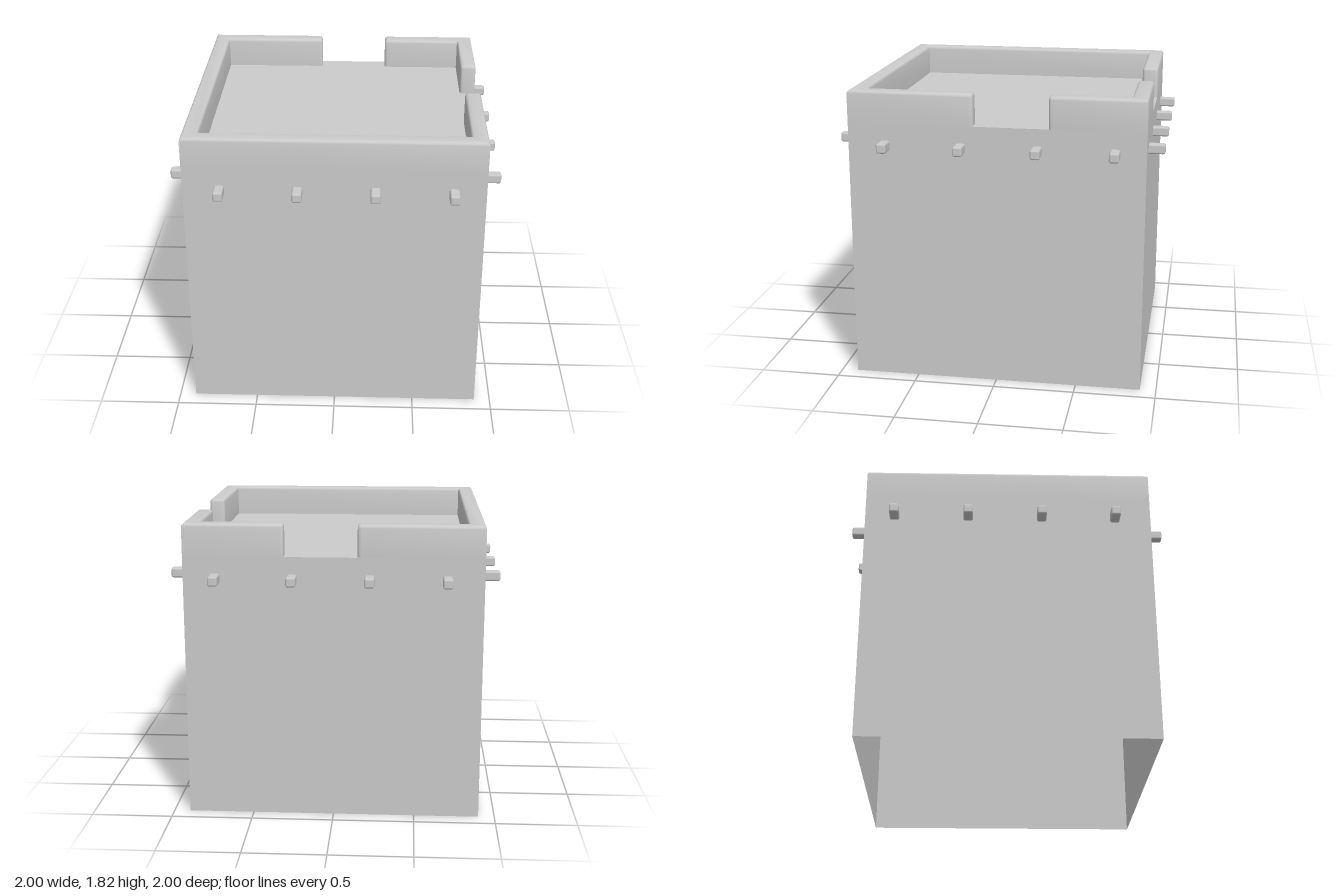
import * as THREE from 'three';
import { toCreasedNormals } from 'three/addons/utils/BufferGeometryUtils.js';
import { RoundedBoxGeometry } from 'three/addons/geometries/RoundedBoxGeometry.js';

const HALF = 0.9, INNER = 0.8, ROOF = 1.625, TOP = 1.82, BEVEL = 0.02;

const material = new THREE.MeshStandardMaterial({ color: 0xcccccc, side: THREE.DoubleSide });

function addMesh(parent, name, geometry) {
  const mesh = new THREE.Mesh(geometry, material);
  mesh.name = name;
  parent.add(mesh);
  return mesh;
}

// Plan outline from [x, z, rounded] corners; marked corners get a small radius.
function planShape(corners, radius) {
  const shape = new THREE.Shape();
  const pts = corners.map(([x, z]) => new THREE.Vector2(x, -z));
  const n = pts.length;
  pts.forEach((p, i) => {
    const r = corners[i][2] ? radius : 0;
    const toward = (q) => p.clone().add(q.clone().sub(p).setLength(r));
    const a = r ? toward(pts[(i + n - 1) % n]) : p;
    if (i === 0) shape.moveTo(a.x, a.y);
    else shape.lineTo(a.x, a.y);
    if (r) {
      const b = toward(pts[(i + 1) % n]);
      shape.quadraticCurveTo(p.x, p.y, b.x, b.y);
    }
  });
  shape.closePath();
  return shape;
}

// Low wall standing on the roof, with a softened top edge and a square foot.
function parapetGeometry(corners) {
  const geo = new THREE.ExtrudeGeometry(planShape(corners, BEVEL * 1.1), {
    depth: TOP - ROOF - BEVEL, curveSegments: 4,
    bevelEnabled: true, bevelThickness: BEVEL, bevelSize: BEVEL,
    bevelOffset: -BEVEL, bevelSegments: 3,
  });
  geo.rotateX(-Math.PI / 2);
  const pos = geo.attributes.position;
  for (let i = 0; i < pos.count; i++) pos.setY(i, Math.max(0, pos.getY(i)) + ROOF);
  return toCreasedNormals(geo, 0.75);
}

export function createModel() {
  const model = new THREE.Group();
  model.name = 'flatRoofHouse';

  // Walls and roof: a box without its floor
  const shell = new THREE.BoxGeometry(HALF * 2, ROOF, HALF * 2);
  const index = Array.from(shell.index.array);
  index.splice(18, 6);
  shell.setIndex(index);
  shell.clearGroups();
  shell.translate(0, ROOF / 2, 0);
  addMesh(model, 'wallsAndRoof', shell);

  // Long parapet: back, right side, front and part of the left side
  addMesh(model, 'longParapet', parapetGeometry([
    [-0.145, -HALF, 1], [-HALF, -HALF], [-HALF, HALF], [HALF, HALF],
    [HALF, 0.135, 1], [INNER, 0.135, 1], [INNER, INNER], [-INNER, INNER],
    [-INNER, -INNER], [-0.145, -INNER, 1],
  ]));

  // Corner parapet between the two gaps
  addMesh(model, 'cornerParapet', parapetGeometry([
    [0.295, -HALF, 1], [HALF, -HALF], [HALF, -0.32, 1],
    [INNER, -0.32, 1], [INNER, -INNER], [0.295, -INNER, 1],
  ]));

  // Roof beam ends poking out of all four walls
  const beams = new THREE.Group();
  beams.name = 'beamEnds';
  model.add(beams);
  const beam = new RoundedBoxGeometry(0.06, 0.06, 0.12, 1, 0.012);
  for (let i = 0; i < 4; i++) {
    const x = -0.68 + i * 0.463, z = -0.715 + i * 0.463;
    for (const side of [-1, 1]) {
      addMesh(beams, side > 0 ? 'frontBeamEnd' : 'backBeamEnd', beam)
        .position.set(x, 1.49, side * 0.94);
      const m = addMesh(beams, side > 0 ? 'leftBeamEnd' : 'rightBeamEnd', beam);
      m.position.set(side * 0.94, 1.49, z);
      m.rotation.y = Math.PI / 2;
    }
  }
  return model;
}
